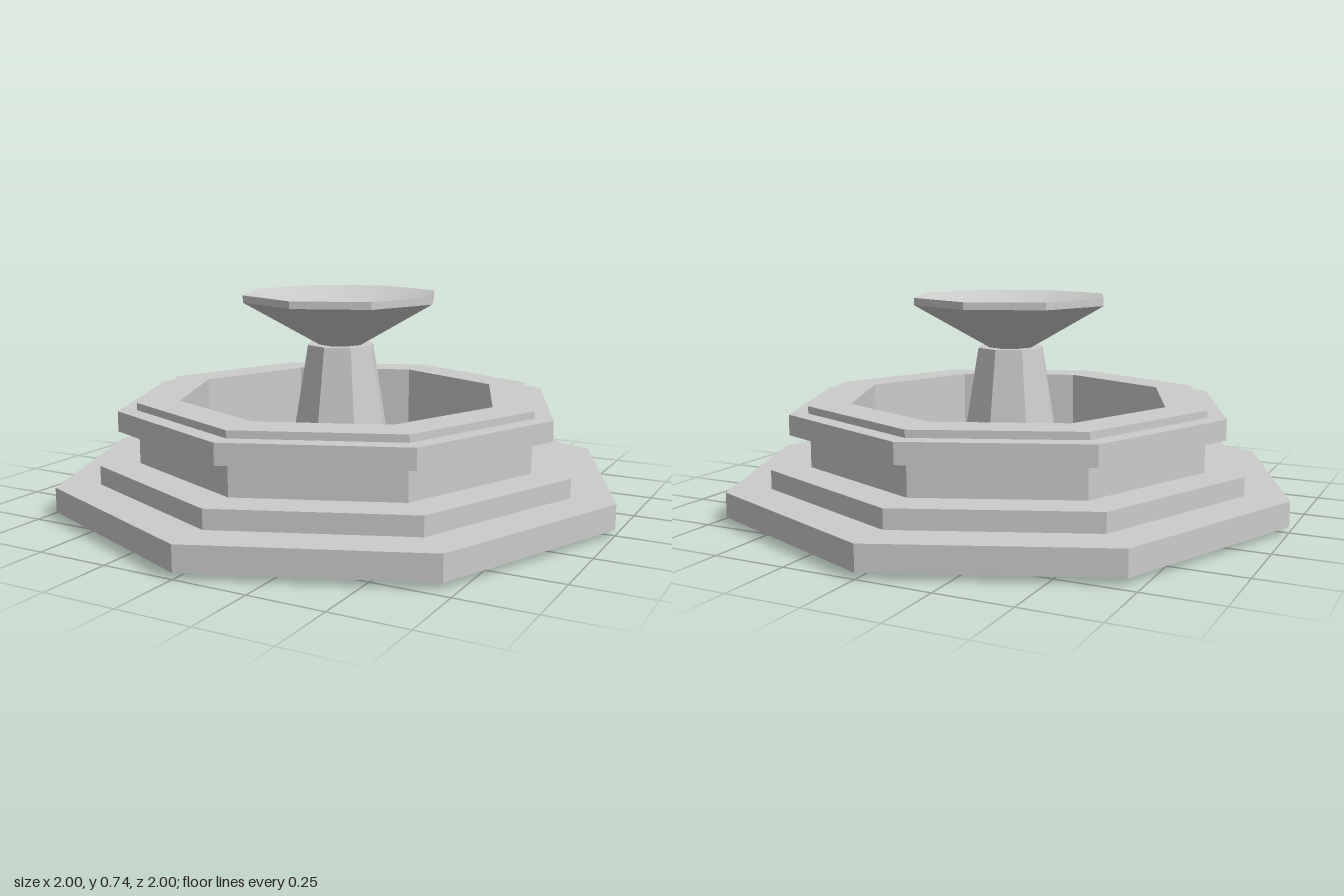
import * as THREE from 'three';
import { toCreasedNormals } from 'three/addons/utils/BufferGeometryUtils.js';

const SIDES = 8;
const material = new THREE.MeshStandardMaterial({ color: 0xcccccc, side: THREE.DoubleSide });

// Octagonal turned part; the profile runs [radius, height] from the underside outwards and up
function turned(name, profile) {
  const points = profile.map(([r, y]) => new THREE.Vector2(r, y));
  const geometry = toCreasedNormals(new THREE.LatheGeometry(points, SIDES), 0.5);
  const mesh = new THREE.Mesh(geometry, material);
  mesh.name = name;
  return mesh;
}

export function createModel() {
  const fountain = new THREE.Group();
  fountain.name = 'fountain';

  // Stepped base and basin wall, ending at the basin floor
  fountain.add(turned('basin', [
    [0.137, 0], [1, 0.02], [1, 0.105],
    [0.85, 0.105], [0.85, 0.17],
    [0.715, 0.17], [0.715, 0.285],
    [0.785, 0.285], [0.785, 0.355],
    [0.72, 0.355], [0.72, 0.38],
    [0.575, 0.38], [0.575, 0.11], [0.19, 0.11],
  ]));

  // Hollow tapered column, open at the foot
  fountain.add(turned('pedestal', [
    [0.137, 0], [0.195, 0.11], [0.12, 0.555], [0.05, 0.555],
  ]));

  // Shallow bowl: sloped outside, thin rim, dished inside with a flat floor
  fountain.add(turned('bowl', [
    [0, 0.55], [0.07, 0.55], [0.35, 0.71], [0.35, 0.735],
    [0.14, 0.66], [0, 0.66],
  ]));

  return fountain;
}
